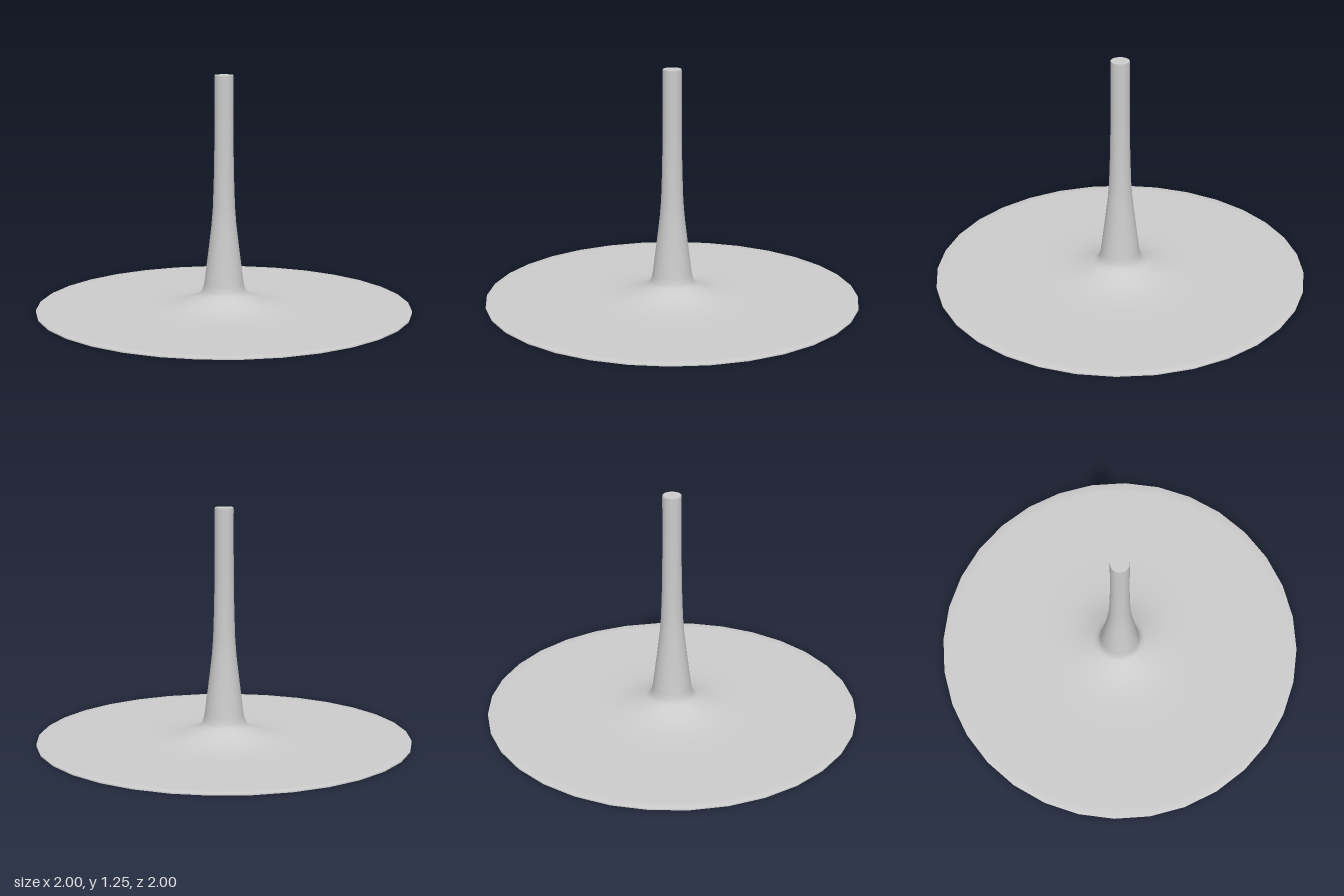
import * as THREE from 'three';

const SIDES = 32;

export function createModel() {
  const group = new THREE.Group();
  group.name = 'pedestalStand';
  const material = new THREE.MeshStandardMaterial({ color: 0xcccccc });

  const add = (name, geometry) => {
    const mesh = new THREE.Mesh(geometry, material);
    mesh.name = name;
    group.add(mesh);
    return mesh;
  };

  // Smooth outer skin: thin disc flaring up into a slender column
  const profile = [
    [1, 0], [1, 0.01], [0.95, 0.011], [0.6, 0.011], [0.43, 0.013],
    [0.33, 0.018], [0.25, 0.033], [0.2, 0.05], [0.145, 0.073],
    [0.122, 0.09], [0.112, 0.11], [0.105, 0.14], [0.085, 0.3],
    [0.066, 0.46], [0.059, 0.55], [0.054, 0.7], [0.051, 0.86],
    [0.05, 1.05], [0.05, 1.24], [0.049, 1.25],
  ].map(([r, y]) => new THREE.Vector2(r, y));
  add('baseAndColumn', new THREE.LatheGeometry(profile, SIDES));

  // Flat caps with crisp edges
  const top = add('columnTop', new THREE.CircleGeometry(0.049, SIDES).rotateX(-Math.PI / 2));
  top.position.y = 1.25;
  add('baseUnderside', new THREE.CircleGeometry(1, SIDES).rotateX(Math.PI / 2));

  return group;
}
